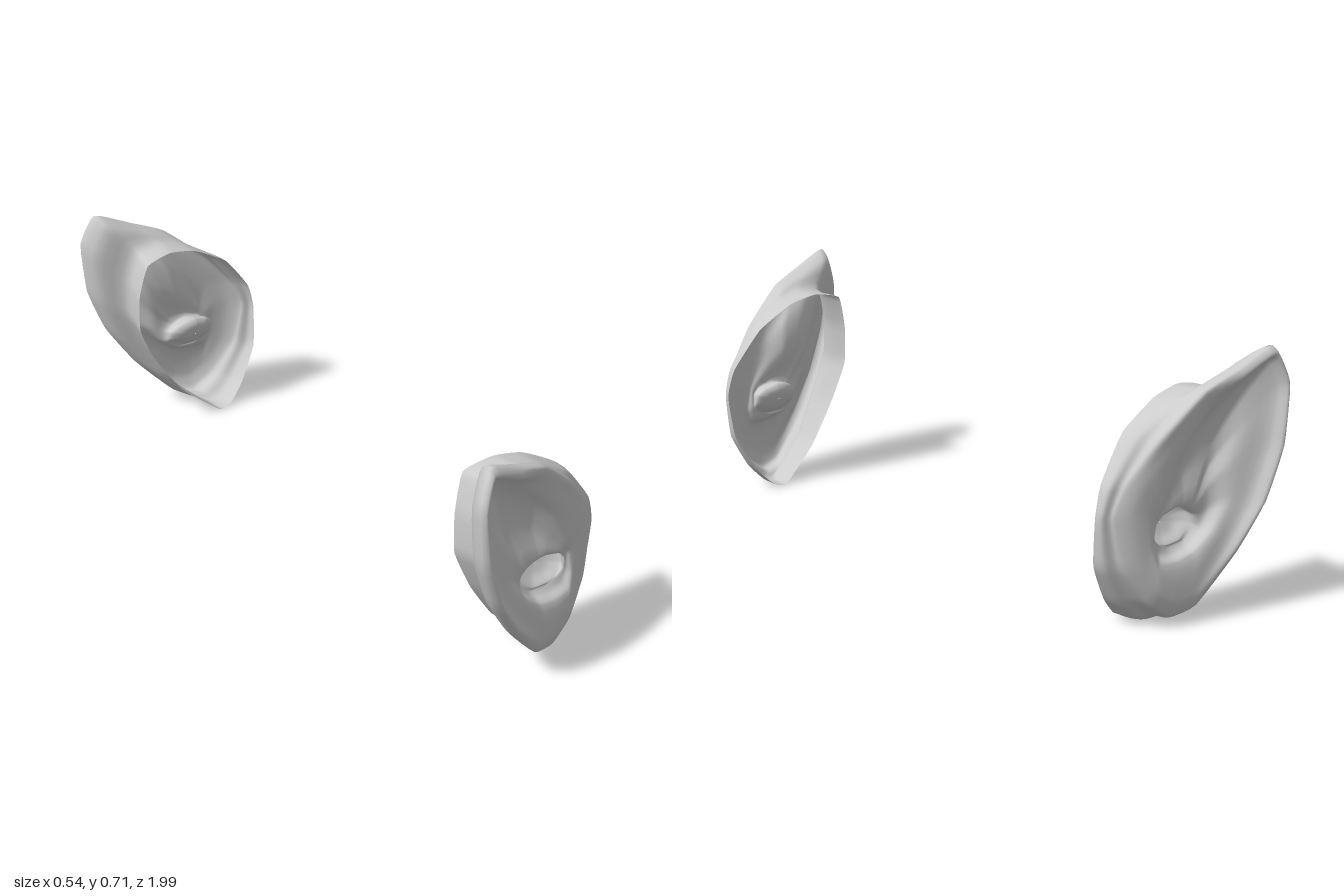
import * as THREE from 'three';

// Matching cross-sections, counter-clockwise from the +x side: [x, y, z]
const opening = [
  [.27, .315, .81], [.247, .4, .805], [.155, .518, .79], [.035, .587, .785], [-.06, .607, .78],
  [-.15, .588, .77], [-.18, .48, .78], [-.18, .36, .785], [-.125, .235, .79], [-.035, .105, .78],
  [.09, .002, .757], [.14, .013, .76], [.195, .07, .775], [.257, .18, .795],
];
const rim = [
  [.24, .32, .85], [.205, .41, .865], [.125, .51, .893], [-.005, .622, .925], [-.11, .667, .945],
  [-.225, .715, .957], [-.27, .62, .978], [-.257, .45, .983], [-.205, .305, .972], [-.12, .175, .952],
  [0, .045, .922], [.08, .025, .9], [.15, .075, .888], [.215, .18, .865],
];
const fold = [
  [.17, .32, .885], [.14, .4, .893], [.06, .48, .905], [-.05, .58, .915], [-.12, .62, .93],
  [-.217, .67, .95], [-.242, .59, .962], [-.215, .44, .96], [-.155, .295, .953], [-.075, .185, .944],
  [.02, .09, .932], [.08, .08, .92], [.13, .12, .908], [.16, .2, .893],
];
const bowl = [
  [.132, .3, .889], [.11, .34, .895], [.055, .43, .892], [-.01, .5, .882], [-.09, .55, .89],
  [-.16, .57, .908], [-.16, .5, .918], [-.13, .41, .922], [-.11, .31, .927], [-.05, .235, .927],
  [.01, .19, .918], [.07, .175, .912], [.125, .18, .903], [.14, .23, .893],
];

const { lerp, clamp } = THREE.MathUtils;
const vectors = (ring) => ring.map((p) => new THREE.Vector3(...p));
// Blend two sections with separate amounts across (xy) and along (z)
const blend = (a, b, across, along) => a.map((p, i) => new THREE.Vector3(
  lerp(p.x, b[i].x, across), lerp(p.y, b[i].y, across), lerp(p.z, b[i].z, along),
));

function earSections() {
  const [O, S, I, B] = [opening, rim, fold, bowl].map(vectors);
  const neck = blend(O, S, 0.12, 0.48);
  neck.forEach((p) => { p.x += 0.025 * clamp(-p.x * 8, 0, 1); });
  const back = blend(O, S, 0.76, 0.72);

  // Rolled crest on the outer side, rounding over into the cheek on the other
  const crest = blend(S, I, 0.45, 0.3);
  crest.forEach((p, i) => {
    const roll = clamp((0.05 - p.x) / 0.2, 0, 1);
    p.z += 0.02 * roll + 0.35 * (1 - roll) * (I[i].z - S[i].z);
  });

  // Ear canal: undercut at the top and cheek side, with a floor ramping out to the lobe
  const cx = 0.045, cy = 0.262;
  const oval = (scale, z, tilt, shift) => B.map((p) => {
    const a = Math.atan2(p.y - cy, p.x - cx);
    const y = 0.054 * scale * Math.sin(a);
    return new THREE.Vector3(cx + shift + 0.08 * scale * Math.cos(a), cy + shift / 2 + y, z - tilt * y);
  });
  const lip = oval(1, 0.88, -0.1, 0);
  const hollow = blend(B, lip, 0.5, 0.68);
  // Scoop the upper hollow, leaving a ridge above the canal
  hollow.forEach((p) => { p.z -= 0.016 * clamp((p.y - 0.34) / 0.06, 0, 1); });
  return [O, neck, back, S, crest, I, B, hollow, lip,
    oval(0.97, 0.858, 0.35, 0.01), oval(0.6, 0.84, 0.4, 0.01), oval(0.02, 0.835, 0, 0.01)];
}

// Smooth loft through the sections; side = 1 or -1 mirrors along z
function earGeometry(side) {
  const columns = 56, rowsPer = 4;
  const rings = earSections().map((s) => Array.from({ length: columns },
    (_, i) => new THREE.CatmullRomCurve3(s, true, 'catmullrom', 0.22).getPoint(i / columns)));
  const rows = (rings.length - 1) * rowsPer;
  const positions = [], indices = [];
  for (let c = 0; c < columns; c++) {
    const curve = new THREE.CatmullRomCurve3(rings.map((r) => r[c]));
    for (let r = 0; r <= rows; r++) {
      const p = curve.getPoint(r / rows);
      positions.push(p.x, p.y, p.z * side);
    }
  }
  const at = (c, r) => (c % columns) * (rows + 1) + r;
  for (let c = 0; c < columns; c++) {
    for (let r = 0; r < rows; r++) {
      const q = [at(c, r), at(c + 1, r), at(c + 1, r + 1), at(c, r + 1)];
      if (side < 0) q.reverse();
      indices.push(q[0], q[1], q[2], q[0], q[2], q[3]);
    }
  }
  const geometry = new THREE.BufferGeometry();
  geometry.setAttribute('position', new THREE.Float32BufferAttribute(positions, 3));
  geometry.setIndex(indices);
  geometry.computeVertexNormals();
  return geometry;
}

export function createModel() {
  const group = new THREE.Group();
  group.name = 'pointedEars';
  const material = new THREE.MeshStandardMaterial({ color: 0xcccccc, side: THREE.DoubleSide });
  for (const side of [1, -1]) {
    const ear = new THREE.Mesh(earGeometry(side), material);
    ear.name = side > 0 ? 'frontEar' : 'backEar';
    group.add(ear);
  }
  return group;
}
